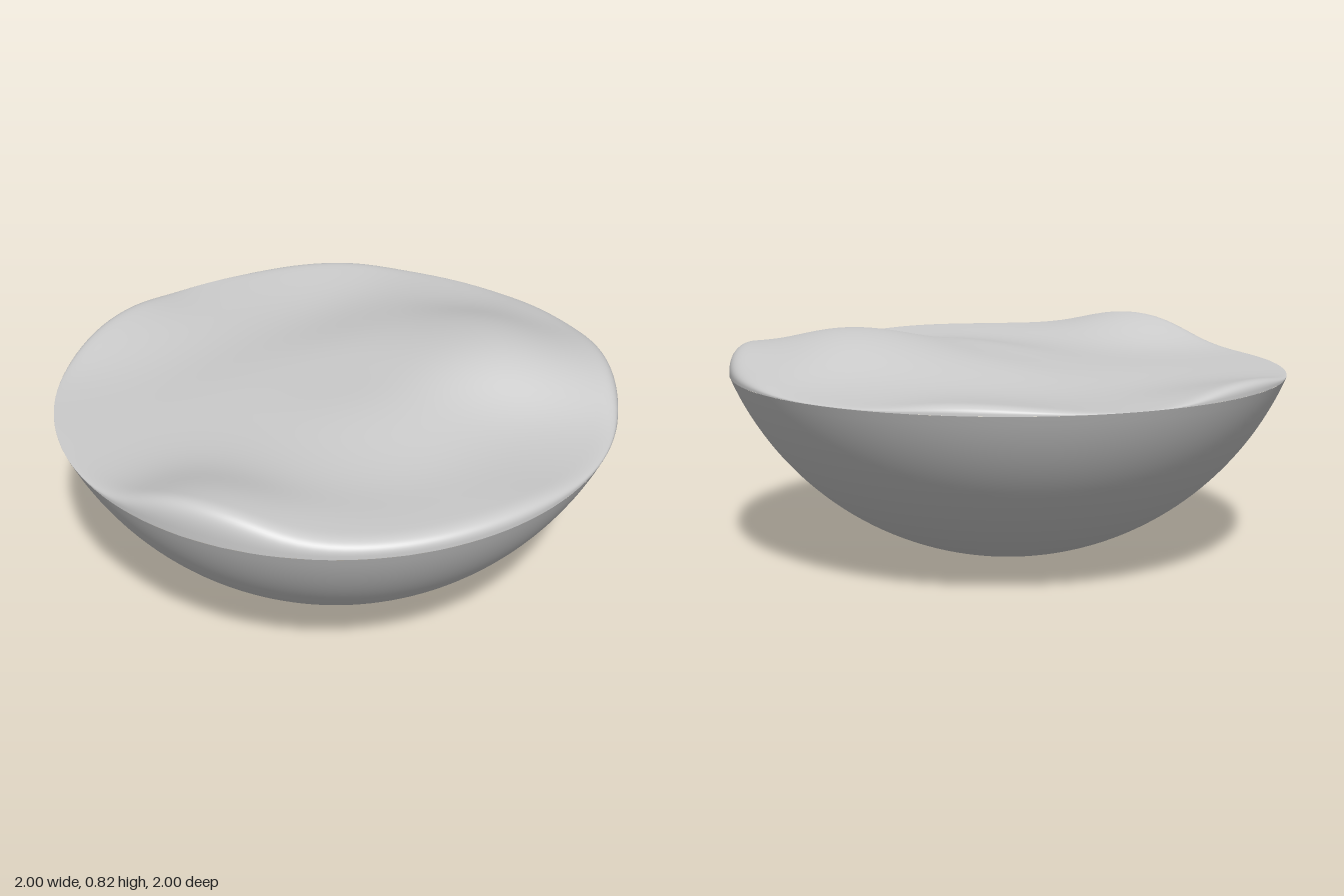
import * as THREE from 'three';
import { mergeVertices } from 'three/addons/utils/BufferGeometryUtils.js';

const RIM_Y = 0.67;
const SPHERE_R = (1 + RIM_Y * RIM_Y) / (2 * RIM_Y);

// Hills and hollows of the top surface: x, z, height
const knots = [
  [0.4, -0.4, 0.82], [0.15, -0.4, 0.785], [-0.05, -0.35, 0.745], [-0.3, -0.4, 0.69],
  [0.8, -0.58, 0.76], [0.97, -0.1, 0.685], [0.5, -0.83, 0.715], [0, -0.72, 0.71],
  [0, -1, 0.675], [-0.55, -0.8, 0.7], [-0.82, -0.5, 0.67], [-0.5, -0.45, 0.67],
  [-1, 0, 0.72], [-0.7, 0, 0.67], [-0.75, 0.35, 0.67], [-0.7, 0.7, 0.672],
  [-0.3, 0.1, 0.685], [0, 0, 0.725], [0.3, 0.08, 0.75], [0.3, 0.38, 0.705],
  [0.68, 0.08, 0.7], [0, 0.5, 0.69], [-0.4, 0.88, 0.68], [0.02, 0.95, 0.785],
  [0.5, 0.83, 0.725], [0.87, 0.42, 0.72], [-0.35, 0.5, 0.675],
];
const weights = knots.map(k => k[2]);

// Smooth blend of the knots
function blend(x, z) {
  let sum = 0, total = 0;
  knots.forEach(([kx, kz], i) => {
    const g = Math.exp(-((x - kx) ** 2 + (z - kz) ** 2) / 0.08);
    sum += g * weights[i];
    total += g;
  });
  return sum / total;
}

// Sharpen the blend so that it passes close to each knot
for (let pass = 0; pass < 12; pass++) {
  const errors = knots.map(([x, z, y]) => y - blend(x, z));
  errors.forEach((e, i) => { weights[i] += 0.8 * e; });
}

// Height of the top, rounded down to the rim at the edge
function topHeight(x, z) {
  const r = Math.min(1, Math.hypot(x, z));
  const t = Math.max(0, (r - 0.92) / 0.08);
  const round = Math.cbrt(Math.max(0, 1 - t ** 3));
  return RIM_Y + (blend(x, z) - RIM_Y) * round;
}

export function createModel() {
  const group = new THREE.Group();
  const material = new THREE.MeshStandardMaterial({ color: 0xcccccc });

  // Underside: a cap of a sphere
  const capAngle = Math.asin(1 / SPHERE_R);
  const capProfile = [];
  for (let i = 0; i <= 40; i++) {
    const a = capAngle * i / 40;
    capProfile.push(new THREE.Vector2(SPHERE_R * Math.sin(a), SPHERE_R * (1 - Math.cos(a))));
  }
  const bowl = new THREE.Mesh(new THREE.LatheGeometry(capProfile, 128), material);
  bowl.name = 'roundedUnderside';
  group.add(bowl);

  // Top: a disc with rings crowded at the rim, shaped into rolling ground
  const discProfile = [];
  for (let i = 0; i <= 60; i++) {
    discProfile.push(new THREE.Vector2(Math.cos((Math.PI / 2) * i / 60), 0));
  }
  discProfile[60].x = 0;
  let disc = new THREE.LatheGeometry(discProfile, 128);
  const pos = disc.attributes.position;
  for (let i = 0; i < pos.count; i++) {
    pos.setY(i, topHeight(pos.getX(i), pos.getZ(i)));
  }
  disc.deleteAttribute('uv');
  disc.deleteAttribute('normal');
  disc = mergeVertices(disc, 1e-5);
  disc.computeVertexNormals();
  const top = new THREE.Mesh(disc, material);
  top.name = 'wavyTop';
  group.add(top);

  return group;
}
